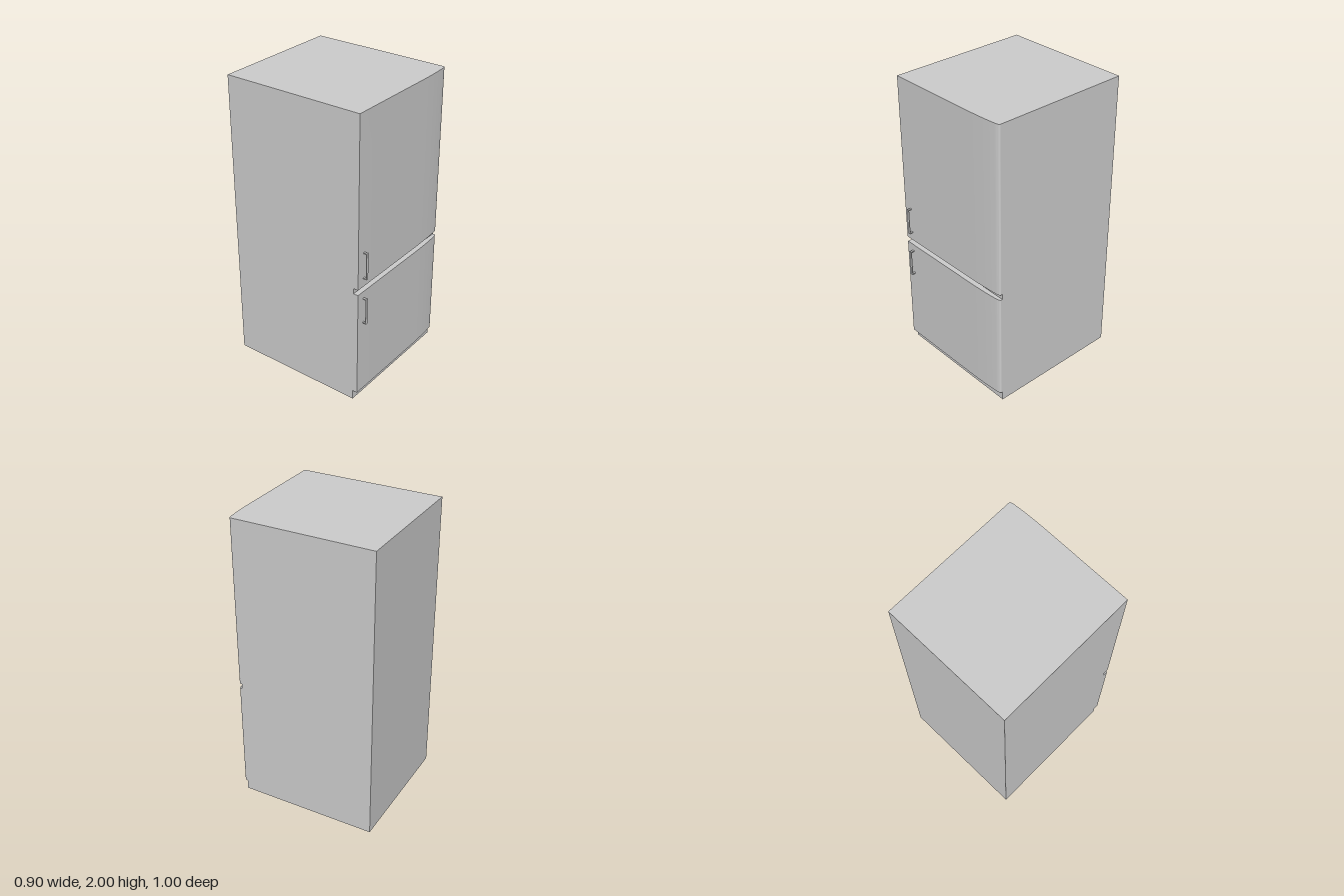
import * as THREE from 'three';
import { toCreasedNormals } from 'three/addons/utils/BufferGeometryUtils.js';

const material = new THREE.MeshStandardMaterial({ color: 0xcccccc });

function addBox(parent, name, [w, h, d], [x, y, z]) {
  const mesh = new THREE.Mesh(new THREE.BoxGeometry(w, h, d), material);
  mesh.name = name;
  mesh.position.set(x, y, z);
  parent.add(mesh);
}

// Door slab: a plan outline (shape y is -z) whose front sweeps back at the hinge side
function createDoor(name, bottom, top) {
  const plan = new THREE.Shape();
  plan.moveTo(-0.448, -0.44);
  plan.lineTo(-0.448, -0.474);
  plan.lineTo(0.2, -0.474);
  plan.bezierCurveTo(0.3, -0.473, 0.38, -0.469, 0.43, -0.463);
  plan.quadraticCurveTo(0.448, -0.46, 0.448, -0.45);
  plan.lineTo(0.448, -0.44);
  plan.closePath();
  const geometry = new THREE.ExtrudeGeometry(plan, { depth: top - bottom, bevelEnabled: false, curveSegments: 12 });
  geometry.rotateX(-Math.PI / 2);
  const door = new THREE.Mesh(toCreasedNormals(geometry, 0.6), material);
  door.name = name;
  door.position.y = bottom;
  return door;
}

// Slim pull: a flat grip on two small posts
function createHandle(name, bottom, top) {
  const handle = new THREE.Group();
  handle.name = name;
  const x = -0.391;
  addBox(handle, 'handleGrip', [0.018, top - bottom, 0.004], [x, (top + bottom) / 2, 0.498]);
  for (const y of [bottom + 0.004, top - 0.004]) {
    addBox(handle, 'handlePost', [0.014, 0.006, 0.024], [x, y, 0.485]);
  }
  return handle;
}

export function createModel() {
  const fridge = new THREE.Group();
  fridge.name = 'refrigerator';

  // Cabinet, exposed at the plinth and between the doors
  addBox(fridge, 'cabinet', [0.896, 2, 0.94], [0, 1, -0.03]);

  fridge.add(createDoor('upperDoor', 0.852, 2), createDoor('lowerDoor', 0.066, 0.815));
  fridge.add(createHandle('upperHandle', 0.91, 1.095), createHandle('lowerHandle', 0.584, 0.769));
  return fridge;
}
